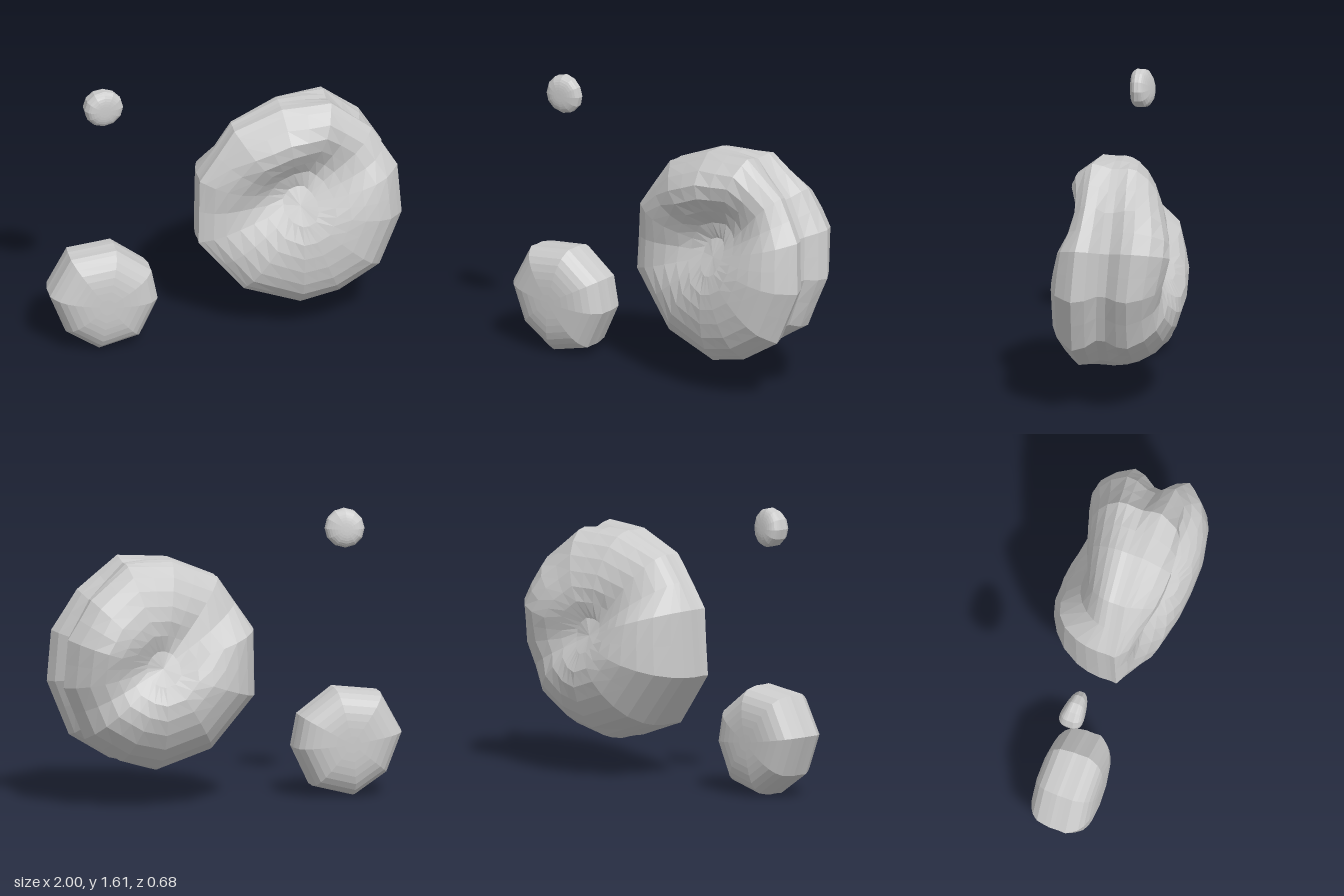
import * as THREE from 'three';

const material = new THREE.MeshStandardMaterial({ color: 0xcccccc, flatShading: true });

// Elongated soft spot centred at (cx, cy), turned by angle
const spot = (x, y, cx, cy, angle, long, wide) => {
  const u = (x - cx) * Math.cos(angle) + (y - cy) * Math.sin(angle);
  const v = (y - cy) * Math.cos(angle) - (x - cx) * Math.sin(angle);
  return Math.exp(-((u / long) ** 2) - (v / wide) ** 2);
};

// Stone lofted through scaled copies of a clockwise outline, from front to back.
// front/back give the face depth at (x, y); the powers set how square the rim is.
function stone(name, { outline, centre, mid, front, back, frontPower, backPower, groove = () => 0 }) {
  const steps = [0, 0.16, 0.32, 0.46, 0.6, 0.74, 0.86, 0.95];
  // Each ring: scale, depth from -1 (back) to 1 (front), share of the groove
  const rings = [
    ...steps.map((s) => [s, (1 - s ** frontPower) ** (1 / frontPower), 0]),
    [1, 0.4, 0], [0.995, 0.2, 0.3], [0.995, 0.03, 1], [1, -0.1, 1], [0.985, -0.26, 0.4],
    ...steps.map((s) => [s, -((1 - s ** backPower) ** (1 / backPower)), 0]).reverse(),
  ];
  const n = outline.length;
  const positions = [];
  for (const [s, h, cut] of rings) {
    for (const [ox, oy] of outline) {
      const k = s * (1 - cut * groove(ox, oy));
      const x = centre[0] + (ox - centre[0]) * k;
      const y = centre[1] + (oy - centre[1]) * k;
      const m = mid(x, y);
      positions.push(x, y, m + Math.abs(h) * ((h > 0 ? front(x, y) : back(x, y)) - m));
    }
  }
  const index = [];
  for (let i = 0; i < rings.length - 1; i++) {
    for (let j = 0; j < n; j++) {
      const a = i * n + j, d = i * n + (j + 1) % n;
      const b = a + n, c = d + n;
      if (i > 0) index.push(a, d, b);
      if (i < rings.length - 2) index.push(b, d, c);
    }
  }
  const geometry = new THREE.BufferGeometry();
  geometry.setAttribute('position', new THREE.Float32BufferAttribute(positions, 3));
  geometry.setIndex(index);
  geometry.computeVertexNormals();
  const mesh = new THREE.Mesh(geometry, material);
  mesh.name = name;
  return mesh;
}

// Outline with a midpoint on every edge, so the hollows have enough facets
const subdivide = (points) => points.flatMap(([x, y], i) => {
  const [nx, ny] = points[(i + 1) % points.length];
  return [[x, y], [(x + nx) / 2, (y + ny) / 2]];
});

export function createModel() {
  const group = new THREE.Group();
  group.name = 'floatingStones';

  // Large boulder: a diagonal valley on each face and a groove along its left flank
  group.add(stone('largeBoulder', {
    outline: subdivide([[0.33, 1.38], [0.61, 1.395], [0.84, 1.21], [0.98, 0.98], [1, 0.69], [0.87, 0.38],
      [0.64, 0.24], [0.42, 0.19], [0.1, 0.3], [-0.15, 0.6], [-0.14, 0.98], [0.06, 1.27]]),
    centre: [0.42, 0.8],
    mid: (x, y) => 0.08 - 0.05 * x - 0.06 * (y - 0.8),
    front: (x, y) => 0.315 + 0.13 * (x - 0.43) - 0.08 * (y - 0.78)
      + 0.07 * spot(x, y, 0.3, 1.21, 0.45, 0.35, 0.12)
      - 0.16 * spot(x, y, 0.42, 0.91, 0.52, 0.44, 0.16),
    back: (x, y) => {
      // The upper lobe recedes toward the boulder's right side
      const above = THREE.MathUtils.smoothstep(y + 0.5 * (x - 0.42), 0.7, 0.96);
      return -0.37 + above * 0.28 * Math.max(0, 0.8 - x)
        - 0.06 * spot(x, y, 0.85, 1.0, 0, 0.2, 0.22)
        + 0.12 * spot(x, y, 0.42, 0.8, -0.46, 0.34, 0.14);
    },
    frontPower: 3,
    backPower: 2.4,
    groove: (x) => 0.16 * Math.max(0, (x - 0.42) / 0.58) ** 1.2,
  }));

  // Medium stone with blunt sides
  group.add(stone('mediumStone', {
    outline: [[-0.88, 0.58], [-0.62, 0.61], [-0.42, 0.46], [-0.385, 0.28], [-0.49, 0.06],
      [-0.72, 0.002], [-0.91, 0.13], [-1, 0.36]],
    centre: [-0.69, 0.31],
    mid: () => 0.1,
    front: (x) => 0.275 - 0.04 * (x + 0.69),
    back: () => -0.085,
    frontPower: 3.1,
    backPower: 3.1,
  }));

  // Small pebble, thinner toward its left edge
  const round = Array.from({ length: 12 }, (_, i) => {
    const a = (-i / 12) * Math.PI * 2;
    return [-0.685 + 0.11 * Math.cos(a), 1.505 + 0.11 * Math.sin(a)];
  });
  group.add(stone('smallPebble', {
    outline: round,
    centre: [-0.685, 1.505],
    mid: (x) => 0.11 + 0.05 * (x + 0.685),
    front: (x) => 0.175 - 0.15 * (x + 0.685),
    back: (x, y) => 0.05 + 0.2 * (x + 0.685) + 0.15 * (y - 1.505),
    frontPower: 3,
    backPower: 2.6,
  }));
  return group;
}
